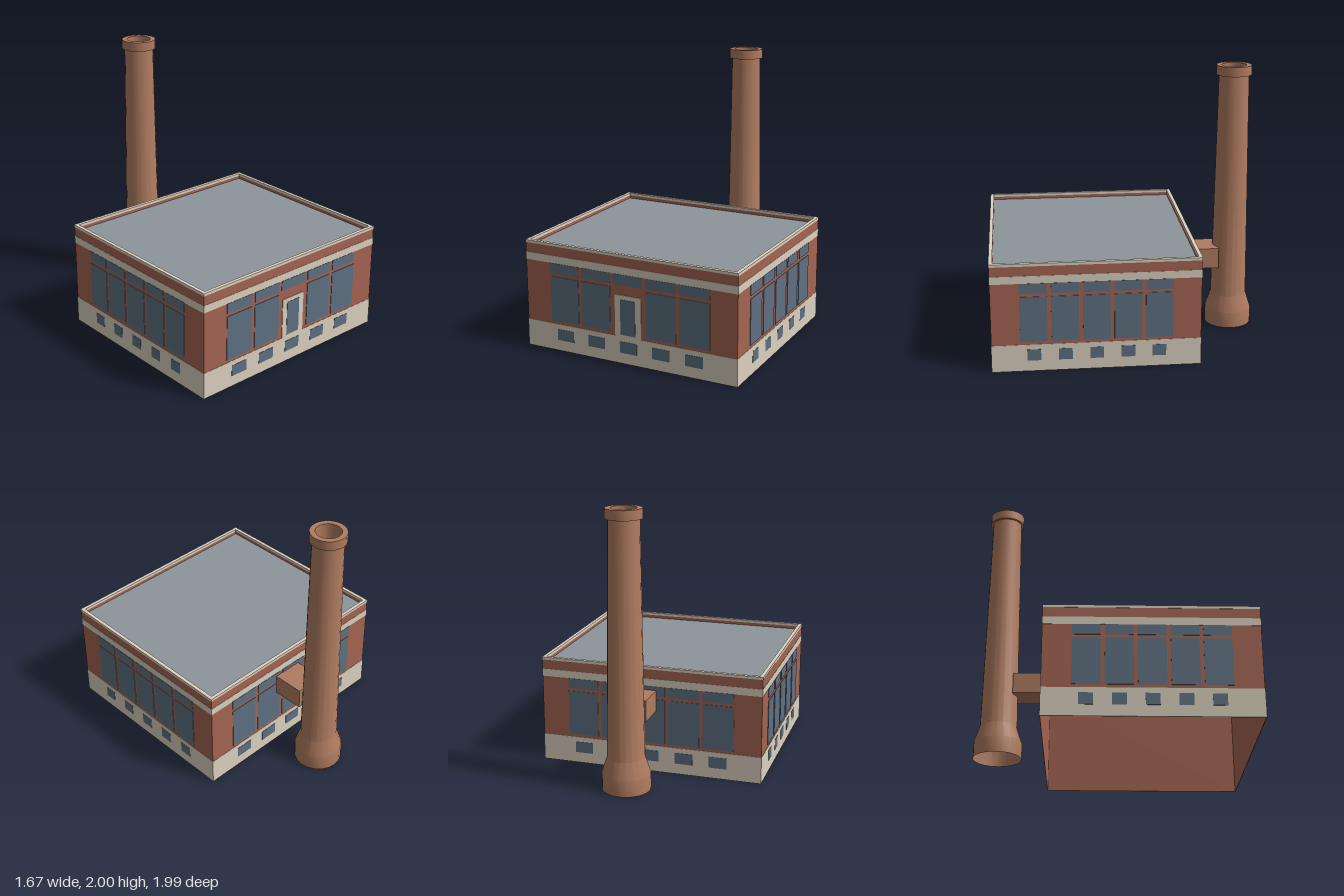
import * as THREE from 'three';
import { toCreasedNormals } from 'three/addons/utils/BufferGeometryUtils.js';

const HW = 0.833, HD = 0.738;            // half width and half depth of the building
const mat = (color) => new THREE.MeshStandardMaterial({ color, side: THREE.DoubleSide });

export function createModel() {
  const brick = mat(0xa56552), cream = mat(0xdcd2c0), glass = mat(0x5f7182);
  const roofGrey = mat(0x8d949b), clay = mat(0xb07c60);
  const model = new THREE.Group();
  const building = new THREE.Group();
  building.name = 'building';
  building.position.z = 0.248;
  model.add(building);

  const add = (parent, name, geometry, material, x = 0, y = 0, z = 0) => {
    const mesh = new THREE.Mesh(geometry, material);
    mesh.name = name;
    mesh.position.set(x, y, z);
    parent.add(mesh);
    return mesh;
  };

  // Rectangular ring of wall between two heights
  const rect = (Type, w, d) => new Type(
    [[-w, -d], [w, -d], [w, d], [-w, d]].map(([x, y]) => new THREE.Vector2(x, y)));
  const ring = (name, material, y0, y1, inset, thickness) => {
    const shape = rect(THREE.Shape, HW - inset, HD - inset);
    shape.holes.push(rect(THREE.Path, HW - inset - thickness, HD - inset - thickness));
    const geometry = new THREE.ExtrudeGeometry(shape, { depth: y1 - y0, bevelEnabled: false });
    geometry.rotateX(-Math.PI / 2);
    add(building, name, geometry, material, 0, y0, 0);
  };
  ring('brickWalls', brick, 0, 0.78, 0.002, 0.003);
  ring('plinth', cream, 0, 0.2, 0, 0.003);
  ring('creamBand', cream, 0.655, 0.71, 0, 0.003);
  ring('parapet', brick, 0.755, 0.78, 0.002, 0.024);
  ring('coping', cream, 0.78, 0.8, 0, 0.026);
  add(building, 'roof', new THREE.BoxGeometry(HW * 2 - 0.01, 0.006, HD * 2 - 0.01), roofGrey, 0, 0.755, 0);

  // Flat panel on a facade, given by centre x, width and height range
  const panel = (face, name, material, x, w, y0, y1, z = 0) =>
    add(face, name, new THREE.BoxGeometry(w, y1 - y0, 0.004), material, x, (y0 + y1) / 2, z);

  // Each facade has five window bays above five plinth windows
  const facade = (name, angle, distance, pitch, paneW, smallW, hasDoor) => {
    const face = new THREE.Group();
    face.name = name;
    face.rotation.y = angle;
    face.position.set(Math.sin(angle) * distance, 0, Math.cos(angle) * distance);
    building.add(face);
    for (let i = -2; i <= 2; i++) {
      const x = i * pitch;
      panel(face, 'plinthWindow', glass, x, smallW, 0.08, 0.163);
      panel(face, 'upperPane', glass, x, paneW, 0.58, 0.655);
      if (!(hasDoor && i === 0)) panel(face, 'lowerPane', glass, x, paneW, 0.222, 0.557);
    }
    if (hasDoor) {
      panel(face, 'doorFrame', cream, 0, 0.205, 0.2, 0.505);
      panel(face, 'door', glass, 0, 0.118, 0.215, 0.475, 0.002);
    }
  };
  facade('frontFacade', 0, HD, 0.256, 0.23, 0.135, true);
  facade('backFacade', Math.PI, HD, 0.256, 0.23, 0.135, false);
  facade('leftFacade', Math.PI / 2, HW, 0.22, 0.192, 0.097, false);
  facade('rightFacade', -Math.PI / 2, HW, 0.22, 0.192, 0.097, false);

  // Tapered chimney with flared foot, collar and open flue
  const profile = [[0.175, 0], [0.175, 0.12], [0.135, 0.24], [0.11, 1.93], [0.129, 1.93],
    [0.129, 2], [0.09, 2], [0.09, 1.8]].map(([r, y]) => new THREE.Vector2(r, y));
  add(model, 'chimney', toCreasedNormals(new THREE.LatheGeometry(profile, 20), 0.34), clay, 0.065, 0, -0.825);

  // Flue duct joining the building to the chimney
  add(model, 'flueDuct', new THREE.BoxGeometry(0.23, 0.155, 0.24), clay, 0.065, 0.548, -0.605);

  return model;
}
